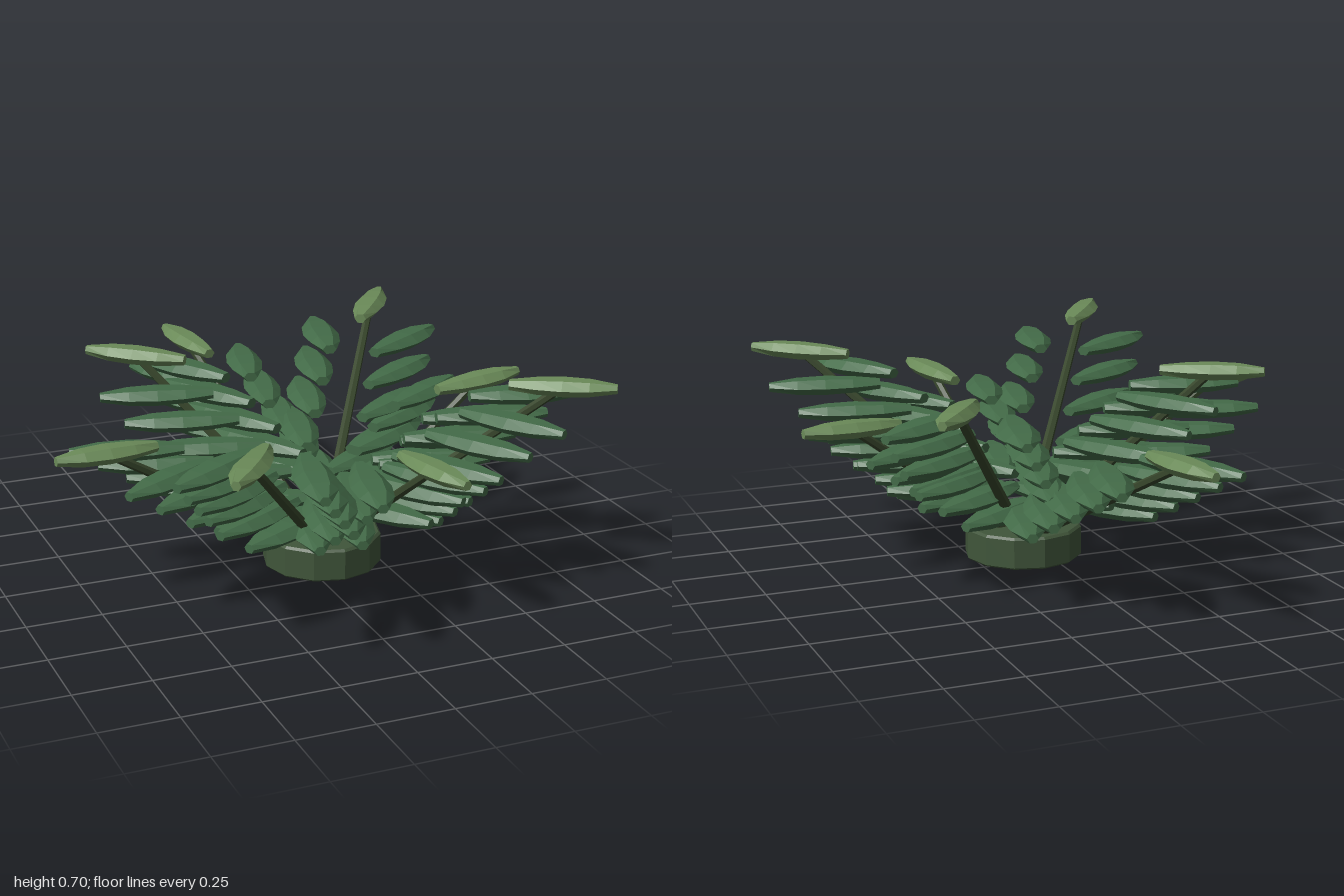
import * as THREE from 'three';

const mat = (color) => new THREE.MeshStandardMaterial({ color, flatShading: true });
const potMat = mat(0x40553a);
const stemMat = mat(0x38472c);
const leafMat = mat(0x436b48);
const tipMat = mat(0x6a8a58);

const CENTRE = [0.07, 0.1];
const ROOT_Y = 0.05;

// Flat faceted leaf lying along +z: a six-sided tube with a width profile
function leafGeometry(length, width, thickness) {
  const profile = [0.38, 0.82, 1, 0.85, 0.28]; // inner end to tip
  const g = new THREE.CylinderGeometry(1, 1, 1, 6, profile.length - 1);
  g.rotateY(Math.PI / 2); // corners on the leaf's side edges
  g.rotateX(Math.PI / 2);
  const p = g.attributes.position;
  for (let i = 0; i < p.count; i++) {
    const along = p.getZ(i) + 0.5;
    const s = profile[Math.round(along * (profile.length - 1))];
    p.setXYZ(
      i,
      p.getX(i) * s * width / 2,
      p.getY(i) * (0.35 + 0.65 * s) * thickness / 1.732,
      (along - 0.5) * length
    );
  }
  g.computeVertexNormals();
  return g;
}

const sideLeaf = leafGeometry(0.37, 0.13, 0.052);
const tipLeaf = leafGeometry(0.345, 0.108, 0.052);

function add(parent, geometry, material, name) {
  const m = new THREE.Mesh(geometry, material);
  m.name = name;
  parent.add(m);
  return m;
}

// One frond growing along +z: stem, five pairs of leaflets and a pale end leaf
function makeFrond(reach, height) {
  const frond = new THREE.Group();
  const root = new THREE.Vector3(0, ROOT_Y, 0);
  const end = new THREE.Vector3(0, height, reach);

  const dir = end.clone().sub(root);
  const stem = add(frond, new THREE.CylinderGeometry(0.014, 0.02, dir.length(), 6), stemMat, 'stem');
  stem.position.copy(root).addScaledVector(dir, 0.5);
  stem.quaternion.setFromUnitVectors(new THREE.Vector3(0, 1, 0), dir.normalize());

  for (let i = 0; i < 5; i++) {
    const t = (i + 2.5) / 7.5;
    const scale = 1.06 - 0.015 * i;
    for (const side of [-1, 1]) {
      const leaf = add(frond, sideLeaf, leafMat, side > 0 ? 'leftLeaflet' : 'rightLeaflet');
      leaf.position.set(side * 0.15 * scale, ROOT_Y + (height - ROOT_Y) * t, reach * t - 0.035);
      leaf.rotation.y = side * 0.39;
      leaf.scale.setScalar(scale);
    }
  }

  const tip = add(frond, tipLeaf, tipMat, 'endLeaf');
  tip.position.copy(end);
  tip.rotation.x = -0.03;
  return frond;
}

export function createModel() {
  const model = new THREE.Group();
  model.name = 'plant';

  // Low twelve-sided base with a small bevel
  const outline = [[0, 0], [0.194, 0], [0.2, 0.006], [0.2, 0.102], [0.192, 0.11], [0, 0.11]];
  const base = add(
    model,
    new THREE.LatheGeometry(outline.map(([x, y]) => new THREE.Vector2(x, y)), 12),
    potMat,
    'base'
  );
  base.position.set(CENTRE[0], 0, CENTRE[1]);

  // Eight fronds, low and high in turn; each entry is the x, z of the outer end
  const ends = [
    [-0.10, -1.0], [0.63, -0.68], [0.87, -0.04], [0.85, 0.655],
    [0.205, 0.89], [-0.57, 0.99], [-0.875, 0.23], [-0.585, -0.385],
  ];
  ends.forEach(([x, z], i) => {
    const dx = x - CENTRE[0];
    const dz = z - CENTRE[1];
    const frond = makeFrond(Math.hypot(dx, dz) - 0.172, i % 2 ? 0.672 : 0.523);
    frond.name = 'frond' + (i + 1);
    frond.position.set(CENTRE[0], 0, CENTRE[1]);
    frond.rotation.y = Math.atan2(dx, dz);
    model.add(frond);
  });

  return model;
}
